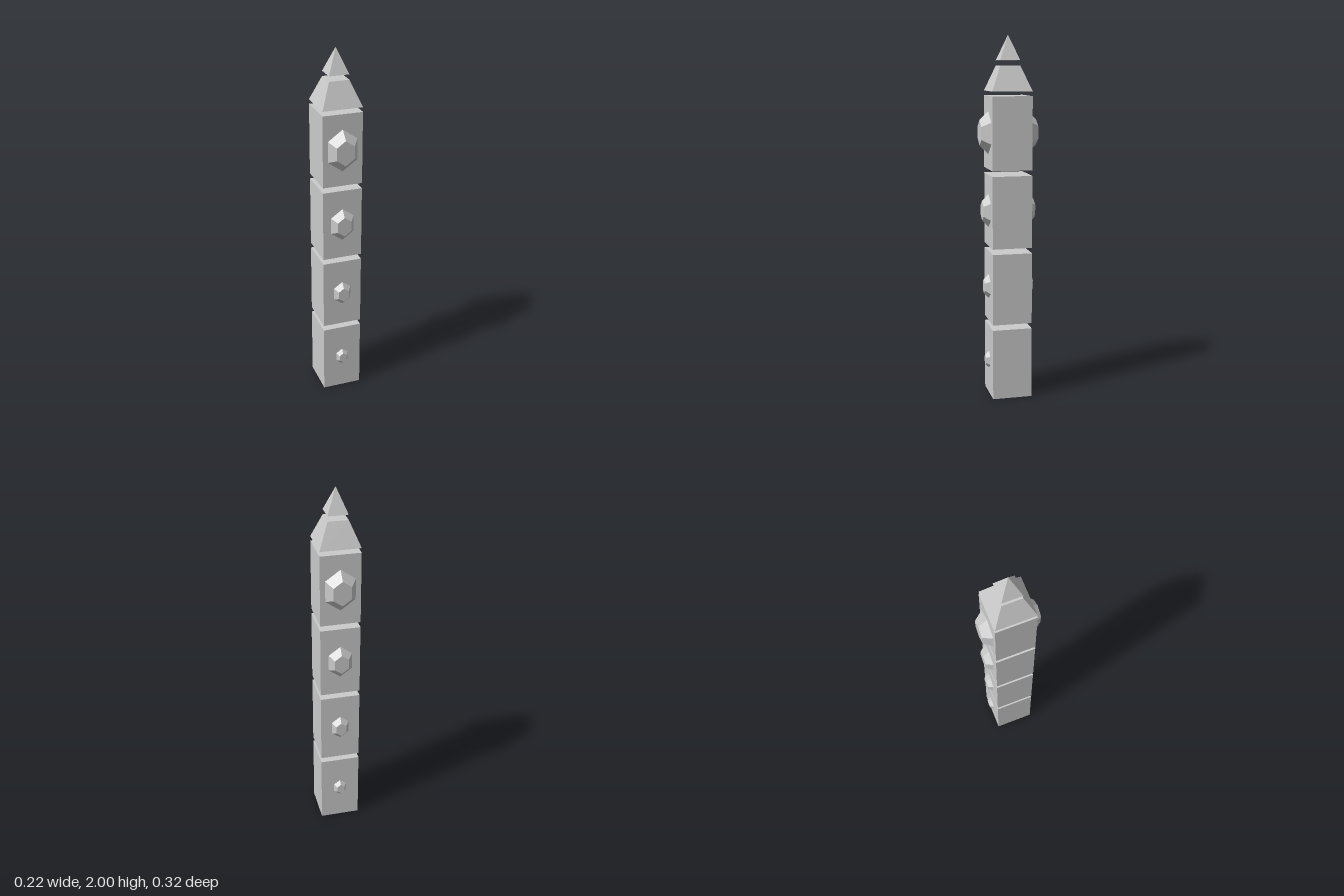
import * as THREE from 'three';

const HALF = 0.11;      // half width of the pillar
const BLOCK_H = 0.397;  // height of one block
const PITCH = 0.427;    // block height plus gap

export function createModel() {
  const group = new THREE.Group();
  const material = new THREE.MeshStandardMaterial({ color: 0xcccccc, flatShading: true });

  const add = (name, geometry, x, y, z) => {
    const mesh = new THREE.Mesh(geometry, material);
    mesh.name = name;
    mesh.position.set(x, y, z);
    group.add(mesh);
  };

  // Square tapered section from y0 to y1, given by its half widths
  const taper = (name, halfTop, halfBottom, y0, y1) => {
    const g = new THREE.CylinderGeometry(halfTop * Math.SQRT2, halfBottom * Math.SQRT2, y1 - y0, 4);
    g.rotateY(Math.PI / 4);
    add(name, g, 0, (y0 + y1) / 2, 0);
  };

  // Faceted six-sided gem, its base on the block face; side is 1 (front) or -1 (back)
  const gem = (name, radius, depth, y, side) => {
    const g = new THREE.CylinderGeometry(radius * 0.6, radius, depth, 6);
    g.rotateX(side * Math.PI / 2);
    g.scale(0.81, 1, 1);
    add(name, g, 0, y, side * (HALF + depth / 2));
  };

  // Four floating blocks with gems growing towards the top
  const gems = [[0.05, 0.021], [0.069, 0.028], [0.092, 0.036], [0.116, 0.048]];
  gems.forEach(([radius, depth], i) => {
    const y = BLOCK_H / 2 + i * PITCH;
    add(`block${i + 1}`, new THREE.BoxGeometry(2 * HALF, BLOCK_H, 2 * HALF), 0, y, 0);
    gem(`frontGem${i + 1}`, radius, depth, y, 1);
    gem(`backGem${i + 1}`, radius, depth, y, -1);
  });

  // Split pyramid cap
  taper('capBase', 0.055, HALF, 1.703, 1.838);
  taper('capTip', 0, 0.055, 1.866, 2);

  return group;
}
